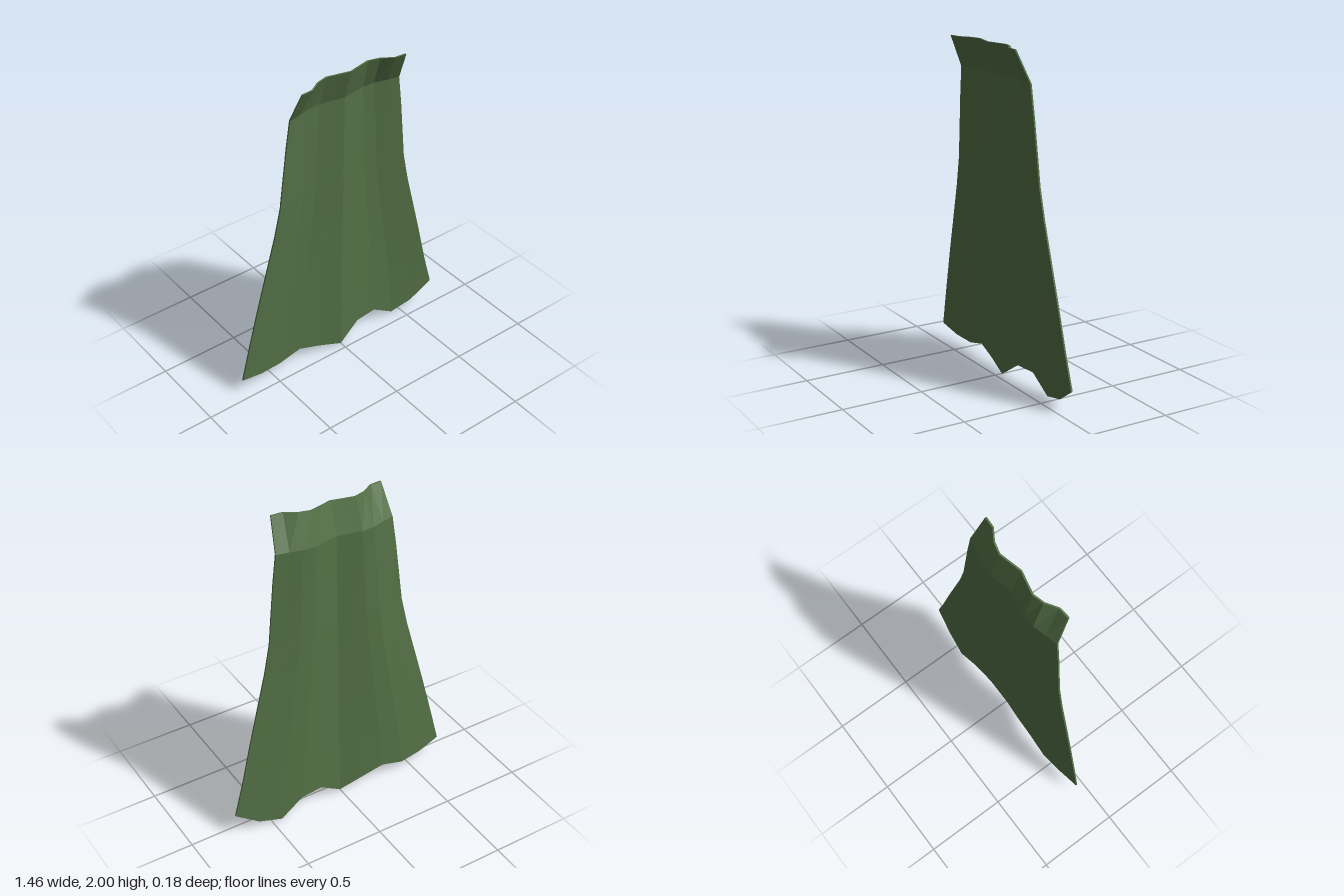
import * as THREE from 'three';

const lerp = THREE.MathUtils.lerp;
const THICKNESS = 0.01;

// Fold depth (back face z) from the centre column to the outer edge
const topFold = [0.045, 0.028, 0.012, 0.03, 0.075, 0.08];
const neckFold = [-0.015, -0.03, -0.045, -0.041, -0.02, -0.004];
const hemFold = [-0.055, -0.075, -0.09, -0.093, -0.078, -0.062];

// Ragged hem heights from the right side to the left side
const hemY = [0.1, 0.062, 0.052, 0.09, 0.048, 0, 0.1, 0.1, 0.003, 0.04, 0.14];
const COLS = hemY.length;

// Rows of the cloth: [height, half width]; the last one follows the hem
const rows = [[2, 0.35], [1.81, 0.375], [1.63, 0.4], [1.25, 0.443],
  [1.07, 0.482], [0.62, 0.602], [0.35, 0.67], [0, 0.73]];

// Point on the back face at a row and column
function clothPoint(r, c) {
  const u = (c - 5) / 5;
  const k = Math.abs(c - 5);
  const [rowY, half] = rows[r];
  const y = r === rows.length - 1 ? hemY[c] : rowY;
  const z = r === 0 ? topFold[k] : lerp(neckFold[k], hemFold[k], (1.81 - y) / 1.75);
  return [u * half, y, z];
}

// Closed thin sheet: front, back and a rim all the way round
function clothGeometry() {
  const front = [], back = [], index = [];
  for (let r = 0; r < rows.length; r++) {
    for (let c = 0; c < COLS; c++) {
      const [x, y, z] = clothPoint(r, c);
      back.push(x, y, z);
      front.push(x, y, z + THICKNESS);
    }
  }
  const offset = rows.length * COLS;
  const quad = (a, b, c, d) => index.push(a, b, c, a, c, d);
  const id = (r, c) => r * COLS + c;
  for (let r = 0; r < rows.length - 1; r++) {
    for (let c = 0; c < COLS - 1; c++) {
      const [a, b, d, e] = [id(r + 1, c), id(r + 1, c + 1), id(r, c + 1), id(r, c)];
      quad(a + offset, b + offset, d + offset, e + offset);
      quad(b, a, e, d);
    }
  }
  // Rim, walked anticlockwise as seen from the front
  const last = rows.length - 1, rim = [];
  for (let c = 0; c < COLS - 1; c++) rim.push(id(last, c));
  for (let r = last; r > 0; r--) rim.push(id(r, COLS - 1));
  for (let c = COLS - 1; c > 0; c--) rim.push(id(0, c));
  for (let r = 0; r < last; r++) rim.push(id(r, 0));
  rim.forEach((a, i) => {
    const b = rim[(i + 1) % rim.length];
    quad(a, b, b + offset, a + offset);
  });

  const geometry = new THREE.BufferGeometry();
  geometry.setAttribute('position', new THREE.Float32BufferAttribute([...back, ...front], 3));
  geometry.setIndex(index);
  const flat = geometry.toNonIndexed();
  flat.computeVertexNormals();
  return flat;
}

export function createModel() {
  const group = new THREE.Group();
  group.name = 'cape';
  const green = new THREE.MeshStandardMaterial({ color: 0x557247, flatShading: true });
  green.name = 'moss green cloth';
  const cloth = new THREE.Mesh(clothGeometry(), green);
  cloth.name = 'capeCloth';
  group.add(cloth);
  return group;
}
